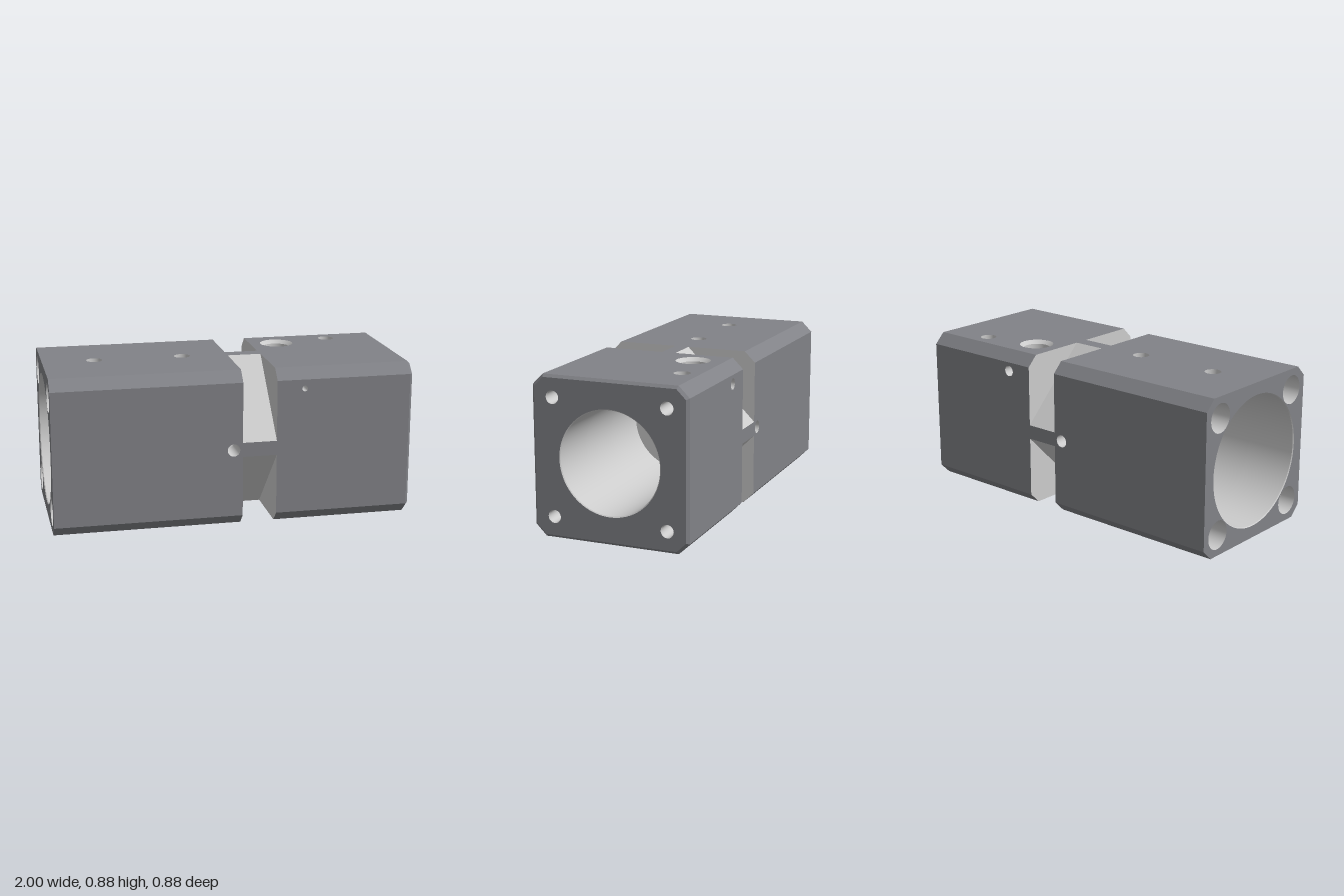
import * as THREE from 'three';

const H = 0.4375, F = 0.3775;            // half height of the block, half width of its flats
const END = 1, BEV = 0.015;              // right end and its edge bevel
const S0 = 0.04, S1 = 0.23, NECK = 0.04; // slot limits and half width of the neck ridge
const RL = 0.365, RR = 0.28, CORNER = 0.32;

const dark = new THREE.MeshStandardMaterial({ color: 0x818287, side: THREE.DoubleSide });
const light = new THREE.MeshStandardMaterial({ color: 0xcccccc, side: THREE.DoubleSide });

// Surface stretched between two closed curves
function ruled(f, g, n) {
  const pos = [], idx = [];
  for (let i = 0; i < n; i++) {
    const t = (i / n) * Math.PI * 2, j = (i + 1) % n;
    pos.push(...f(t), ...g(t));
    idx.push(2 * i, 2 * j, 2 * i + 1, 2 * j, 2 * j + 1, 2 * i + 1);
  }
  const geo = new THREE.BufferGeometry();
  geo.setAttribute('position', new THREE.Float32BufferAttribute(pos, 3));
  geo.setIndex(idx);
  geo.computeVertexNormals();
  return geo;
}

// Tube, cone or ring along an axis; its ends may follow a rule of the offsets (a, b)
function tube(axis, [c, d], r0, from, to, r1 = r0, n = 64) {
  const rim = (r, end) => (t) => {
    const a = r * Math.cos(t), b = r * Math.sin(t);
    const e = typeof end === 'function' ? end(a, b) : end;
    if (axis === 'x') return [e, c + a, d + b];
    return axis === 'y' ? [c + a, e, d + b] : [c + a, d + b, e];
  };
  return ruled(rim(r0, from), rim(r1, to), n);
}

function polygon(points, holes = []) {
  const shape = new THREE.Shape(points.map((p) => new THREE.Vector2(...p)));
  for (const [x, y, r] of holes) shape.holes.push(new THREE.Path().absarc(x, y, r, 0, Math.PI * 2, true));
  return new THREE.ShapeGeometry(shape, 48);
}

function quad(a, b, c, d) {
  const geo = new THREE.BufferGeometry();
  geo.setAttribute('position', new THREE.Float32BufferAttribute([...a, ...b, ...c, ...d], 3));
  geo.setIndex([0, 1, 2, 0, 2, 3]);
  geo.computeVertexNormals();
  return geo;
}

const octagon = (h, f) => [[f, h], [-f, h], [-h, f], [-h, -f], [-f, -h], [f, -h], [h, -f], [h, f]];
const corners = [[1, 1], [1, -1], [-1, -1], [-1, 1]].map(([a, b]) => [a * CORNER, b * CORNER]);
const half = (r, d) => Math.sqrt(Math.max(0, r * r - d * d));

export function createModel() {
  const model = new THREE.Group();
  const block = new THREE.Group();
  block.name = 'housingBlock';
  block.position.y = H;
  model.add(block);
  const add = (name, geo, mat = light) => {
    const mesh = new THREE.Mesh(geo, mat);
    mesh.name = name;
    block.add(mesh);
    return mesh;
  };

  // Outer flats, order: front, top, back, bottom; holes as [x, v, radius]
  const angles = [0, -Math.PI / 2, Math.PI, Math.PI / 2];
  const skin = (name, x0, x1, holes) => angles.forEach((angle, i) => {
    const flat = polygon([[x0, -F], [x1, -F], [x1, F], [x0, F]], holes[i]);
    add(name + 'Flat', flat.translate(0, 0, H), dark).rotation.x = angle;
    add(name + 'Chamfer', quad([x0, F, H], [x1, F, H], [x1, H, F], [x0, H, F]), dark).rotation.x = angle;
  });
  skin('leftBody', -1, S0, [
    [[-0.01, 0, 0.035]], [[-0.71, 0, 0.045], [-0.215, 0, 0.045]],
    [[-0.01, 0, 0.035]], [[-0.71, 0, 0.045]],
  ]);
  skin('rightBody', S1, END - BEV, [
    [[0.385, 0.3275, 0.016]], [[0.385, 0.21, 0.095], [0.705, 0.28, 0.045]],
    [[0.385, -0.3275, 0.03]], [[0.385, -0.21, 0.075], [0.705, -0.28, 0.022]],
  ]);

  // End plates and the bevel round the right end
  const hi = H - BEV, fi = F - BEV * 0.414;
  const endPlate = (h, f, bore, hole, x, turn) =>
    polygon(octagon(h, f), [[0, 0, bore], ...corners.map((c) => [...c, hole])]).rotateY(turn).translate(x, 0, 0);
  add('leftEndPlate', endPlate(H, F, RL + 0.004, 0.08, -1, -Math.PI / 2), dark);
  add('rightEndPlate', endPlate(hi, fi, RR + 0.005, 0.036, END, Math.PI / 2), dark);
  const outer = octagon(H, F), inner = octagon(hi, fi);
  outer.forEach((p, i) => {
    const j = (i + 1) % 8, a = END - BEV;
    add('endBevel', quad([a, ...p], [END, ...inner[i]], [END, ...inner[j]], [a, ...outer[j]]), dark);
  });

  // Slot: four cut corners leave a diamond shaped neck
  const cutCorner = [[NECK, H], [NECK, H], [F, H], [H, F], [H, NECK]].slice(1);
  for (const angle of angles) {
    const parts = [
      add('slotLeftWall', polygon(cutCorner, [[CORNER, CORNER, 0.08]]).rotateY(Math.PI / 2).translate(S0, 0, 0)),
      add('slotRightWall', polygon(cutCorner).rotateY(Math.PI / 2).translate(S1, 0, 0)),
      add('neckSlope', quad([S0, NECK, H], [S1, NECK, H], [S1, H, NECK], [S0, H, NECK])),
      add('neckRidge', quad([S0, -NECK, H], [S1, -NECK, H], [S1, NECK, H], [S0, NECK, H]), dark),
    ];
    for (const part of parts) part.rotation.x = angle;
  }

  // Central bore in sections, their edges following the cross holes
  const O = [0, 0];
  const edge = (x, r, z, sign, topOnly) => (a, b) => x + sign * (topOnly && a < 0 ? 0 : half(r, b - z));
  const bore = (name, r, from, to, r1) => add(name, tube('x', O, r, from, to, r1, 384));
  const SL = -0.1, SR = 0.06;
  bore('leftBoreRim', RL + 0.004, -1, -0.995, RL);
  bore('leftBore', RL, -0.995, edge(-0.71, 0.045, 0, -1));
  bore('leftBore', RL, edge(-0.71, 0.045, 0, 1), edge(-0.215, 0.02, 0, -1, true));
  bore('leftBore', RL, edge(-0.215, 0.02, 0, 1, true), SL);
  bore('leftShoulder', RL, SL, SL, 0.2);
  bore('throat', 0.2, SL, SR - 0.015);
  bore('throatBevel', 0.2, SR - 0.015, SR, 0.215);
  bore('rightShoulder', 0.215, SR, SR, RR);
  bore('rightBore', RR, SR, edge(0.385, 0.075, -0.21, -1));
  bore('rightBore', RR, edge(0.385, 0.075, -0.21, 1), edge(0.705, 0.045, -0.28, -1));
  bore('rightBore', RR, edge(0.705, 0.045, -0.28, 1), END - 0.005);
  bore('rightBoreRim', RR, END - 0.005, END, RR + 0.005);

  // Lengthwise corner holes: through on the left, blind on the right
  for (const c of corners) {
    add('cornerHole', tube('x', c, 0.08, -1, S0));
    add('threadedHole', tube('x', c, 0.036, END, END - 0.006, 0.033));
    add('threadedHole', tube('x', c, 0.033, END - 0.006, 0.78));
    add('threadedHoleFloor', tube('x', c, 0.033, 0.78, 0.765, 0));
  }

  // Upright holes of the left body
  const onBore = (R, z, sign) => (a, b) => sign * half(R, z + b);
  for (const s of [1, -1]) add('crossHole', tube('y', [-0.71, 0], 0.045, s * H, onBore(RL, 0, s)));
  add('portHole', tube('y', [-0.215, 0], 0.045, H, 0.4));
  add('portHoleFloor', tube('y', [-0.215, 0], 0.045, 0.4, 0.4, 0.02));
  add('portPassage', tube('y', [-0.215, 0], 0.02, 0.4, onBore(RL, 0, 1)));

  // Wide upright hole of the right body, pierced by the thin pin hole
  const wide = [0.385, -0.21], pinY = 0.3275;
  add('wideHoleCountersink', tube('y', wide, 0.095, H, H - 0.02, 0.075));
  add('wideHole', tube('y', wide, 0.075, H - 0.02, (a) => pinY + half(0.016, a), 0.075, 192));
  add('wideHole', tube('y', wide, 0.075, (a) => pinY - half(0.016, a), onBore(RR, -0.21, 1), 0.075, 192));
  add('wideHole', tube('y', wide, 0.075, -H, onBore(RR, -0.21, -1), 0.075, 192));
  const pin = [0.385, pinY];
  add('pinHole', tube('z', pin, 0.016, H, (a) => -0.21 + half(0.075, a)));
  add('pinHole', tube('z', pin, 0.016, -0.38, (a) => -0.21 - half(0.075, a)));
  add('pinCounterbore', tube('z', pin, 0.03, -H, -0.38));
  add('pinCounterboreFloor', tube('z', pin, 0.03, -0.38, -0.38, 0.016));

  // Stepped upright hole that grazes the bore
  const step = [0.705, -0.28];
  add('steppedHole', tube('y', step, 0.045, H, onBore(RR, -0.28, 1), 0.045, 128));
  add('steppedHole', tube('y', step, 0.045, onBore(RR, -0.28, -1), -0.25, 0.045, 128));
  add('steppedHoleFloor', tube('y', step, 0.045, -0.25, -0.25, 0.022));
  add('steppedHoleOutlet', tube('y', step, 0.022, -0.25, -H));

  // Blind holes beside the slot, front and back
  for (const s of [1, -1]) {
    add('sideHole', tube('z', [-0.01, 0], 0.035, s * H, s * 0.28));
    add('sideHoleFloor', tube('z', [-0.01, 0], 0.035, s * 0.28, s * 0.265, 0));
  }
  return model;
}
